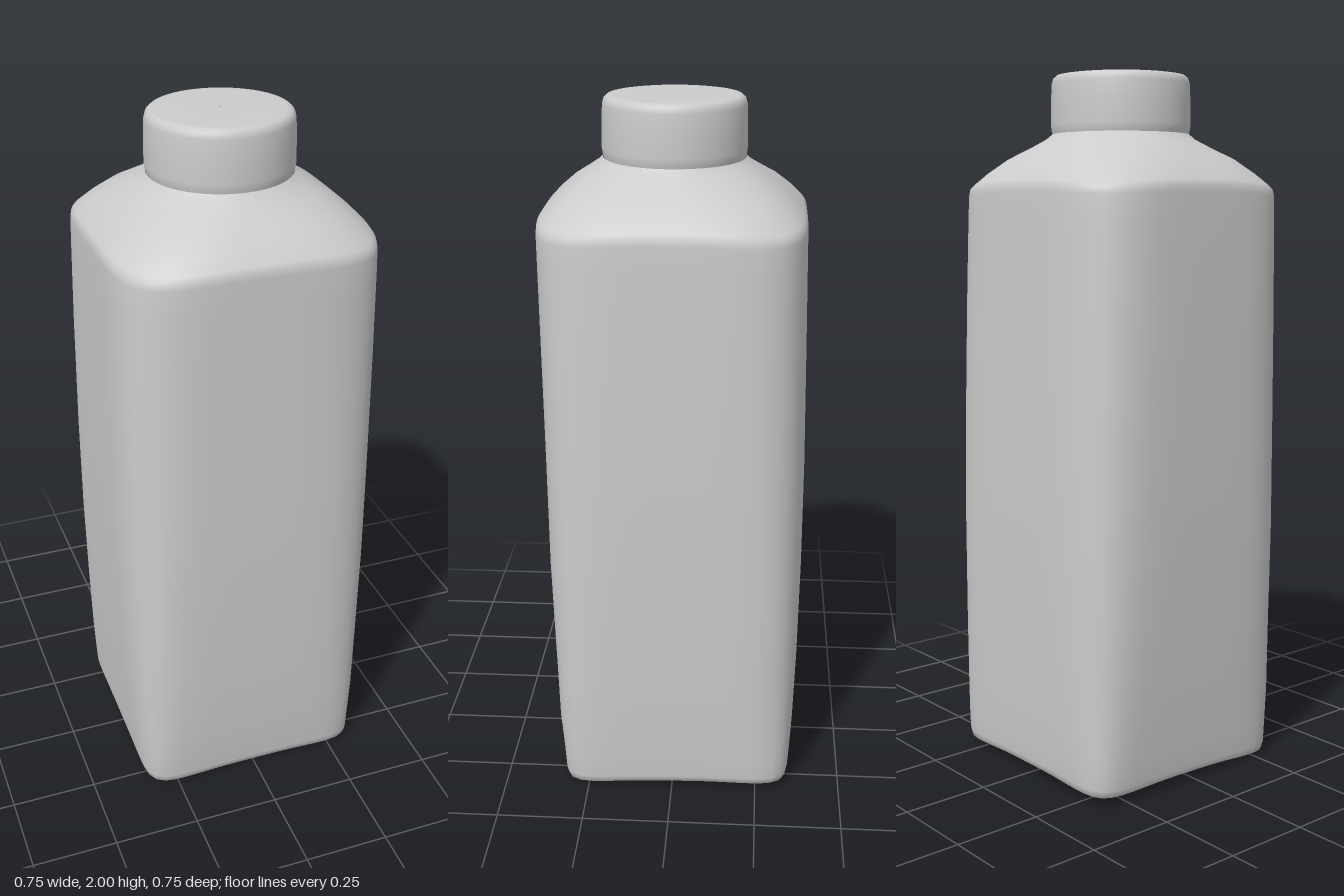
import * as THREE from 'three';

const SEG = 96;

// Loft through superellipse rings: [y, halfX, halfZ, centreZ, exponent, tilt, cornerDrop]
function loft(name, rings, material) {
  const pos = [], index = [];
  for (const [y, hx, hz, cz, n, tilt = 0, drop = 0] of rings) {
    for (let i = 0; i < SEG; i++) {
      const a = (i / SEG) * Math.PI * 2, c = Math.cos(a), s = Math.sin(a);
      const r = Math.pow(Math.abs(c) ** n + Math.abs(s) ** n, -1 / n);
      const corner = Math.sin(2 * a) ** 4;
      pos.push(hx * r * c, y - tilt * r * s - drop * corner, cz + hz * r * s);
    }
  }
  for (let j = 0; j < rings.length - 1; j++) {
    for (let i = 0; i < SEG; i++) {
      const k = (i + 1) % SEG;
      const a = j * SEG + i, b = j * SEG + k, c = a + SEG, d = b + SEG;
      index.push(a, c, b, b, c, d);
    }
  }
  const g = new THREE.BufferGeometry();
  g.setAttribute('position', new THREE.Float32BufferAttribute(pos, 3));
  g.setIndex(index);
  g.computeVertexNormals();
  const mesh = new THREE.Mesh(g, material);
  mesh.name = name;
  return mesh;
}

export function createModel() {
  const group = new THREE.Group();
  group.name = 'bottle';
  const mat = new THREE.MeshStandardMaterial({ color: 0xcccccc });

  // Square body: shallow recessed base, bulging walls, shoulder sloping to the neck
  group.add(loft('body', [
    [0.045, 0.002, 0.002, -0.01, 6],
    [0.036, 0.12, 0.12, -0.01, 8, 0.003],
    [0.024, 0.29, 0.29, -0.01, 9, 0.008, 0.006],
    [0.020, 0.325, 0.325, -0.01, 10, 0.009, 0.010],
    [0.025, 0.337, 0.335, -0.01, 10, 0.009, 0.008],
    [0.042, 0.342, 0.339, -0.01, 10, 0.008, 0.004],
    [0.10, 0.346, 0.344, -0.009, 9],
    [0.20, 0.353, 0.352, -0.007, 7.5],
    [0.40, 0.363, 0.360, -0.006, 6],
    [0.70, 0.372, 0.367, -0.003, 5.2],
    [1.00, 0.375, 0.368, -0.001, 4.8],
    [1.35, 0.374, 0.367, 0.004, 4.5],
    [1.60, 0.371, 0.366, 0.008, 4.3],
    [1.67, 0.370, 0.366, 0.009, 4.2, 0, 0.008],
    [1.69, 0.368, 0.364, 0.009, 4.1, 0, 0.010],
    [1.702, 0.360, 0.356, 0.009, 4, 0, 0.010],
    [1.73, 0.332, 0.330, 0.009, 3.6, 0, 0.006],
    [1.765, 0.290, 0.290, 0.01, 3],
    [1.795, 0.248, 0.248, 0.01, 2.4],
    [1.82, 0.213, 0.213, 0.01, 2.05],
    [1.835, 0.198, 0.196, 0.01, 2],
  ], mat));

  // Round cap with softened edges and a flat top
  group.add(loft('cap', [
    [1.825, 0.194, 0.192, 0.01, 2],
    [1.842, 0.199, 0.196, 0.01, 2],
    [1.86, 0.202, 0.199, 0.01, 2],
    [1.93, 0.201, 0.198, 0.01, 2],
    [1.975, 0.199, 0.196, 0.01, 2],
    [1.990, 0.195, 0.192, 0.01, 2],
    [1.998, 0.186, 0.183, 0.01, 2],
    [2.0, 0.172, 0.170, 0.01, 2],
    [2.0, 0.09, 0.09, 0.01, 2],
    [2.0, 0.001, 0.001, 0.01, 2],
  ], mat));

  return group;
}
